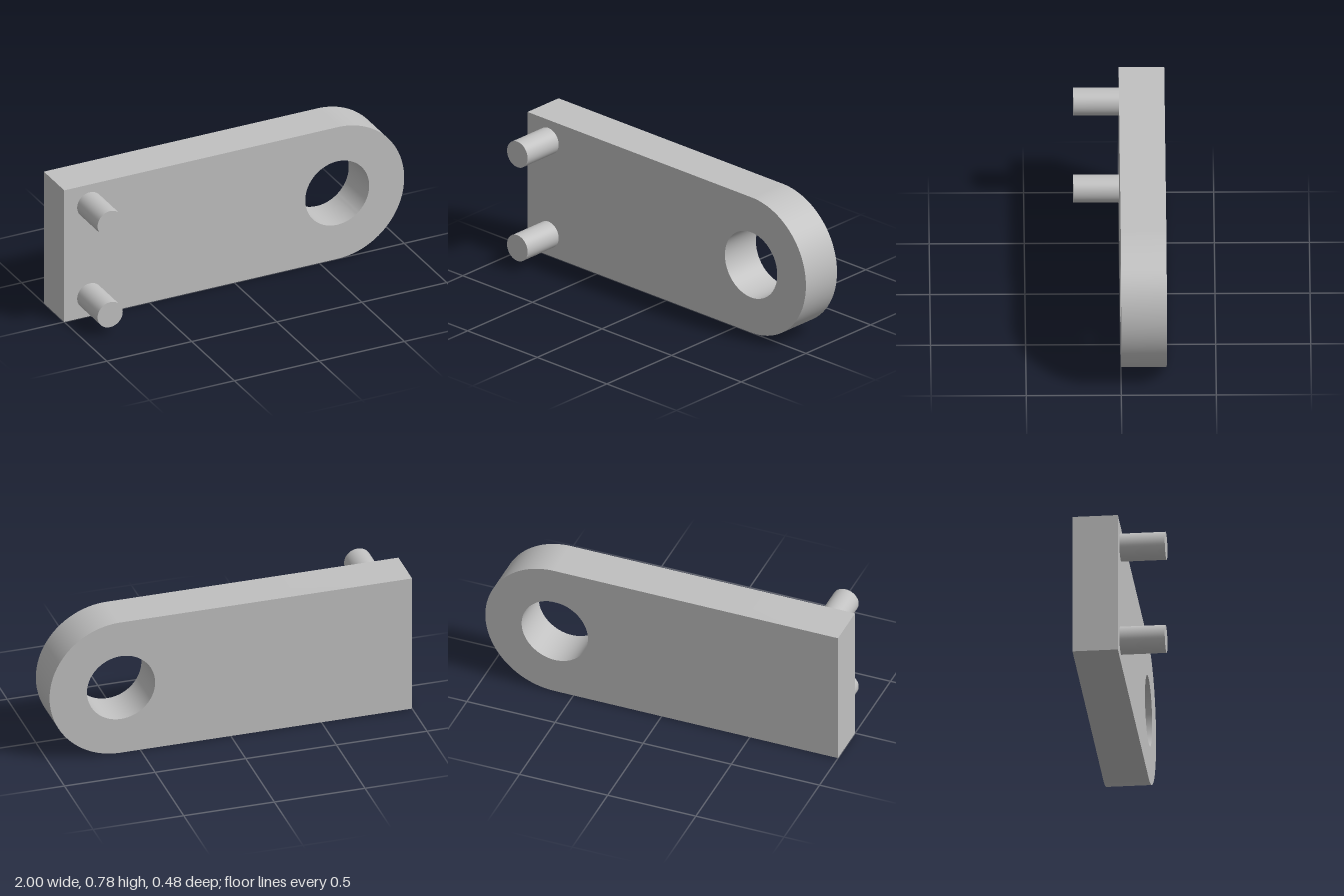
import * as THREE from 'three';
import { toCreasedNormals } from 'three/addons/utils/BufferGeometryUtils.js';

export function createModel() {
  const model = new THREE.Group();
  model.name = 'pinnedLinkPlate';
  const grey = new THREE.MeshStandardMaterial({ color: 0xc0c0c0 });
  grey.name = 'plain grey';

  const height = 0.78, radius = height / 2, depth = 0.24;
  const eyeX = 1 - radius;

  // Plate: square at one end, rounded at the other, with a round eye
  const outline = new THREE.Shape();
  outline.moveTo(-1, 0);
  outline.lineTo(eyeX, 0);
  outline.absarc(eyeX, radius, radius, -Math.PI / 2, Math.PI / 2, false);
  outline.lineTo(-1, height);
  outline.closePath();
  const eye = new THREE.Path();
  eye.absarc(eyeX - 0.004, radius, 0.188, 0, Math.PI * 2, true);
  outline.holes.push(eye);

  const plateGeometry = new THREE.ExtrudeGeometry(outline, {
    depth, bevelEnabled: false, curveSegments: 48,
  });
  plateGeometry.translate(0, 0, -depth);
  const plate = new THREE.Mesh(toCreasedNormals(plateGeometry, 0.5), grey);
  plate.name = 'plate';
  model.add(plate);

  // Two pins standing out of the front at the square end
  const pinGeometry = new THREE.CylinderGeometry(0.074, 0.074, depth, 48);
  pinGeometry.rotateX(Math.PI / 2);
  for (const [name, side] of [['upperPin', 1], ['lowerPin', -1]]) {
    const pin = new THREE.Mesh(pinGeometry, grey);
    pin.name = name;
    pin.position.set(-0.85, radius + side * 0.27, depth / 2);
    model.add(pin);
  }

  return model;
}
